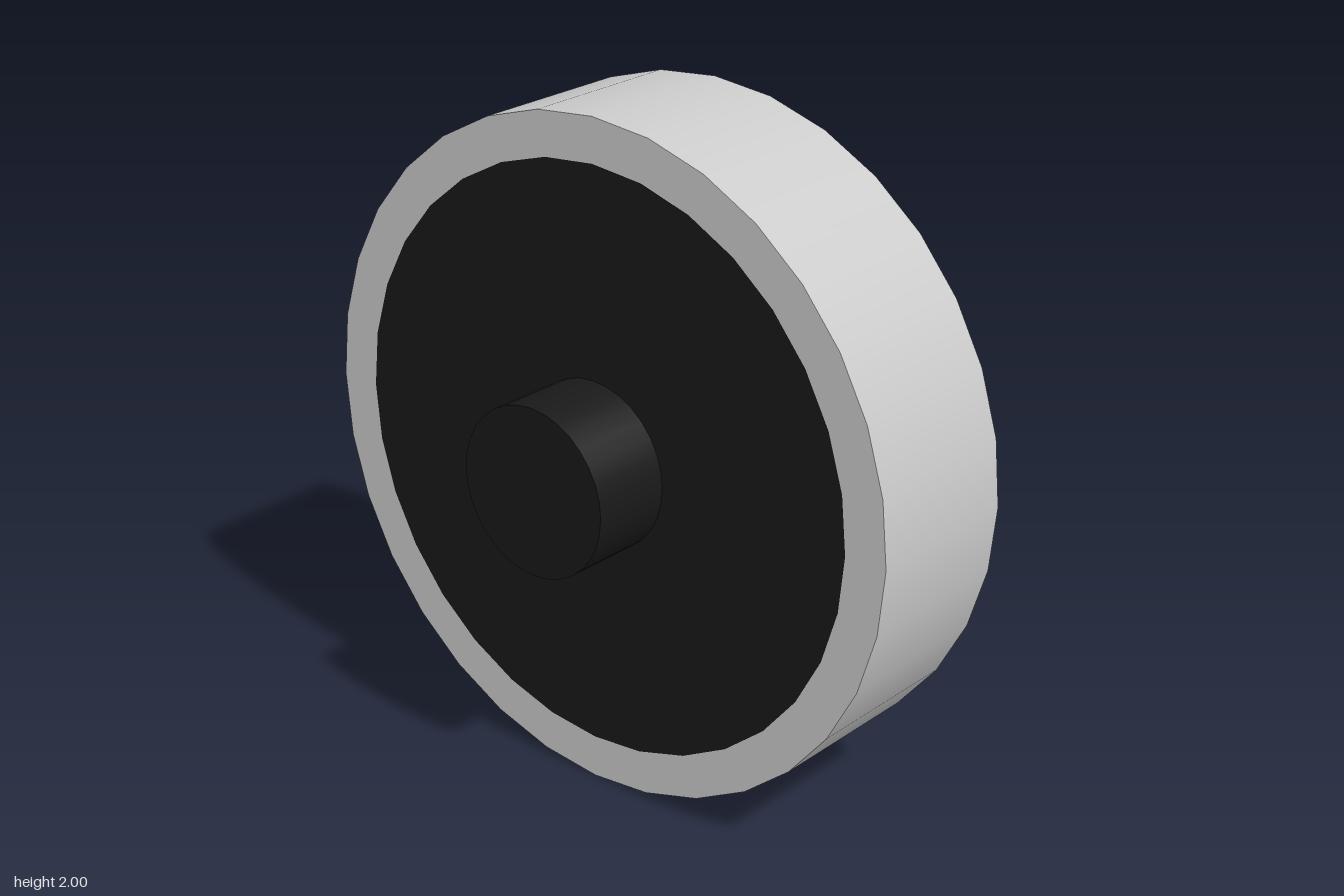
import * as THREE from 'three';
import { mergeGeometries } from 'three/addons/utils/BufferGeometryUtils.js';

const SIDES = 32, FRONT = 0.145, BACK = -0.36, DISC_R = 0.87;
const grey = new THREE.MeshStandardMaterial({ color: 0xcccccc });
const black = new THREE.MeshStandardMaterial({ color: 0x191919 });

// Cylinder lying along z between two depths
function cylinderZ(radius, zBack, zFront, open = false) {
  return new THREE.CylinderGeometry(radius, radius, zFront - zBack, SIDES, 1, open)
    .rotateX(Math.PI / 2)
    .translate(0, 0, (zFront + zBack) / 2);
}

export function createModel() {
  const model = new THREE.Group();
  model.name = 'wheel';
  const add = (name, geometry, material) => {
    const mesh = new THREE.Mesh(geometry, material);
    mesh.name = name;
    mesh.position.y = 1;
    model.add(mesh);
  };

  // Outer rim: smooth band with a flat ring on each face
  add('rim', mergeGeometries([
    cylinderZ(1, BACK, FRONT, true),
    new THREE.RingGeometry(DISC_R, 1, SIDES).translate(0, 0, FRONT),
    new THREE.RingGeometry(DISC_R, 1, SIDES).rotateY(Math.PI).translate(0, 0, BACK),
  ]), grey);

  // Dark core, flush with the rim on both faces
  add('disc', cylinderZ(DISC_R, BACK, FRONT), black);

  // Hub stub on the front
  add('hub', cylinderZ(0.25, FRONT, 0.395), black);

  // Flat bar on the back, from the centre out to the rim and cut to its edge
  const h = 0.1875;
  const outline = new THREE.Shape([
    [0, -h], [0, h], [-0.982, h], [-1, 0], [-0.982, -h],
  ].map(([x, y]) => new THREE.Vector2(x, y)));
  add('bar', new THREE.ExtrudeGeometry(outline, { depth: 0.035, bevelEnabled: false })
    .translate(0, 0, -0.395), grey);

  return model;
}
